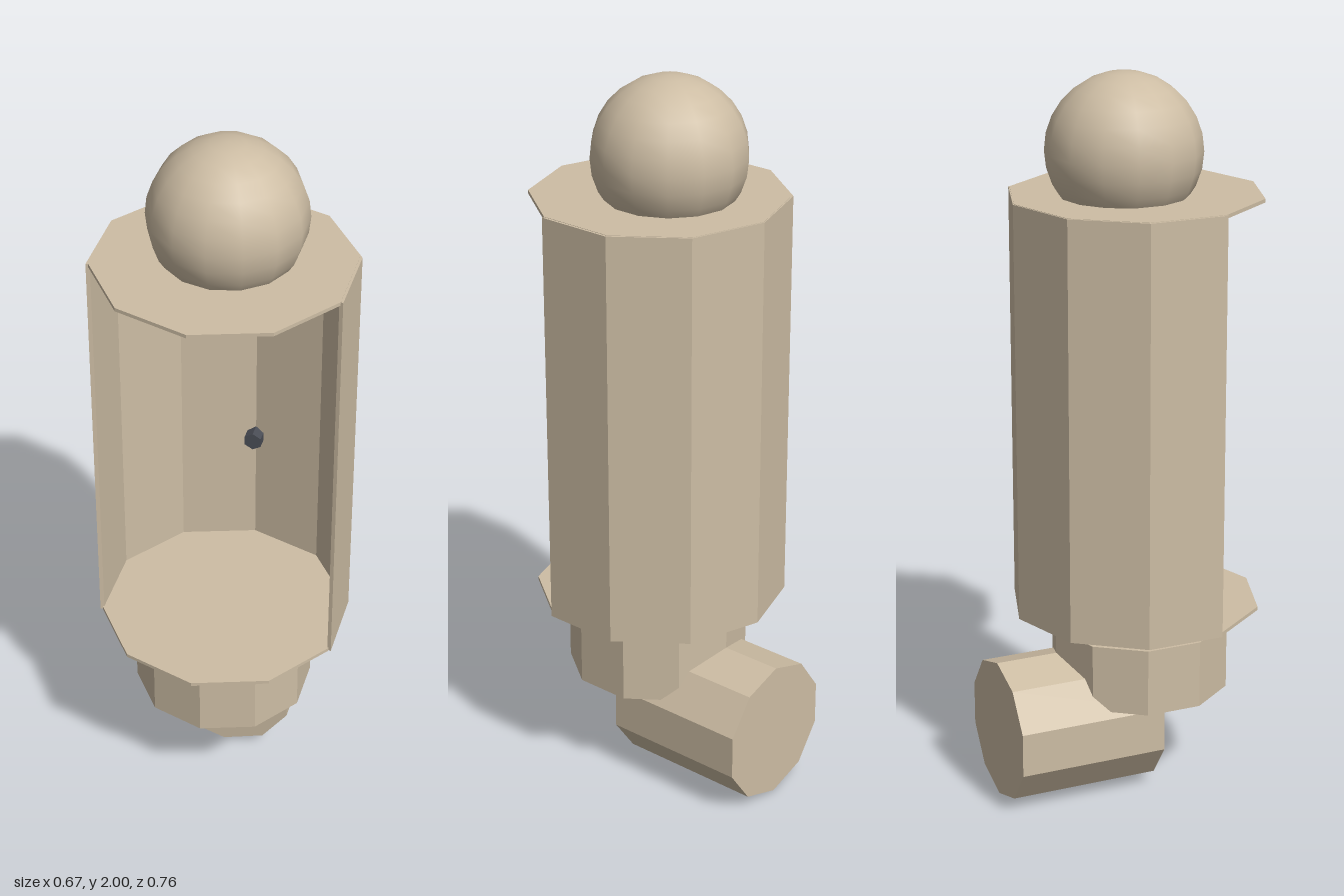
import * as THREE from 'three';

const SIDES = 10;

export function createModel() {
  const group = new THREE.Group();
  const tan = new THREE.MeshStandardMaterial({ color: 0xcdbda4, flatShading: true });
  const tanSmooth = new THREE.MeshStandardMaterial({ color: 0xcdbda4 });
  const dark = new THREE.MeshStandardMaterial({ color: 0x4a4d55, flatShading: true });

  const add = (name, geometry, material, x, y, z) => {
    const mesh = new THREE.Mesh(geometry, material);
    mesh.name = name;
    mesh.position.set(x, y, z);
    group.add(mesh);
    return mesh;
  };
  const prism = (r, h, sides = SIDES) => new THREE.CylinderGeometry(r, r, h, sides);

  const bodyZ = 0.035, bodyR = 0.345;
  const bottom = 0.515, top = 1.675, plate = 0.01;

  // Ten-sided end plates of the open housing
  add('bottomPlate', prism(bodyR, plate), tan, 0, bottom + plate / 2, bodyZ);
  add('topPlate', prism(bodyR, plate), tan, 0, top - plate / 2, bodyZ);

  // Housing wall: six of the ten facets, open at the front
  const arc = (r) => {
    const points = [];
    for (let i = 2; i <= 8; i++) {
      const a = (i / SIDES) * Math.PI * 2;
      // shape y becomes -z once the extrusion is stood upright
      points.push(new THREE.Vector2(Math.sin(a) * r, -Math.cos(a) * r));
    }
    return points;
  };
  const outline = new THREE.Shape([...arc(bodyR + 0.003), ...arc(bodyR - 0.008).reverse()]);
  const wall = new THREE.ExtrudeGeometry(outline, { depth: top - bottom - 0.002, bevelEnabled: false });
  wall.rotateX(-Math.PI / 2);
  wall.scale(1.012, 1, 1);
  add('housingWall', wall, tan, 0, bottom + 0.001, bodyZ);

  // Ball set into the top plate
  const ball = new THREE.SphereGeometry(0.21, 14, 14);
  ball.rotateY(Math.PI / 2);
  add('topBall', ball, tanSmooth, 0, 1.79, 0);

  // Two hexagonal bolts inside the back wall
  for (const y of [0.88, 1.375]) {
    const bolt = prism(0.027, 0.04, 6);
    bolt.rotateX(Math.PI / 2);
    add('bolt', bolt, dark, 0, y, -0.283);
  }

  // Collar below the housing and the pipe leading out to the back
  add('collar', prism(0.25, 0.19), tan, 0, 0.37, 0.045);
  const pipe = prism(0.198, 0.42);
  pipe.rotateX(Math.PI / 2);
  add('outletPipe', pipe, tan, 0, 0.198, -0.17);

  return group;
}
